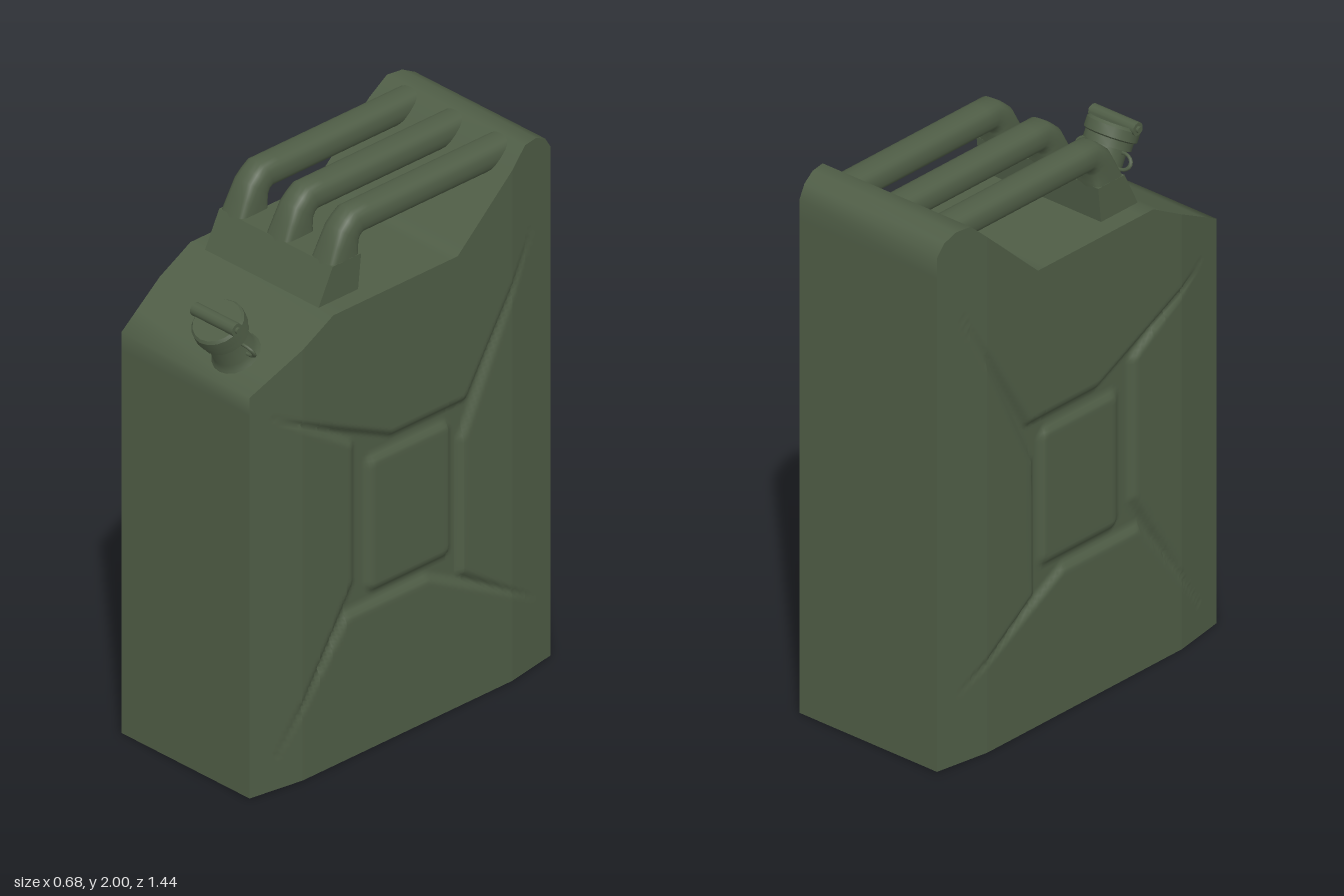
import * as THREE from 'three';
import { toCreasedNormals } from 'three/addons/utils/BufferGeometryUtils.js';

const paint = new THREE.MeshStandardMaterial({ color: 0x4f5d46 });
const { clamp, lerp, smoothstep } = THREE.MathUtils;

function part(name, geometry, parent) {
  const mesh = new THREE.Mesh(geometry, paint);
  mesh.name = name;
  parent.add(mesh);
  return mesh;
}

function indexed(positions, index) {
  const g = new THREE.BufferGeometry();
  g.setAttribute('position', new THREE.Float32BufferAttribute(positions, 3));
  g.setIndex(index);
  g.computeVertexNormals();
  return g;
}

// Upper outline of the can, [z, y] from front to back
const TOP = [
  [0.66, 1.52], [0.57, 1.569], [0.45, 1.634], [0.37, 1.677], [0.31, 1.71], [0.25, 1.71],
  [-0.22, 1.71], [-0.26, 1.71], [-0.29, 1.737], [-0.51, 1.937], [-0.58, 2], [-0.64, 2],
  [-0.69, 1.975], [-0.72, 1.93],
];

// Half width of the body, narrowing towards front and back
const halfWidth = z => 0.34 - 0.035 * clamp(Math.max((z - 0.45) / 0.21, (-0.51 - z) / 0.21), 0, 1);

function topAt(z) {
  for (let i = 1; i < TOP.length; i++) {
    const [z0, y0] = TOP[i - 1], [z1, y1] = TOP[i];
    if (z >= z1) return lerp(y0, y1, clamp((z0 - z) / (z0 - z1), 0, 1));
  }
  return TOP[TOP.length - 1][1];
}

// Outline of the pressed X on each side, [z, y]
const CROSS = [
  [0.57, 1.41], [0.035, 1.155], [-0.3, 1.155], [-0.615, 1.67], [-0.29, 1], [-0.285, 0.5],
  [-0.62, 0.27], [-0.125, 0.535], [0.24, 0.535], [0.555, 0.12], [0.22, 0.66], [0.22, 1.18],
];

// Distance inside the X outline (negative outside)
function insideCross(z, y) {
  let d = Infinity, inside = false;
  CROSS.forEach(([az, ay], i) => {
    const [bz, by] = CROSS[(i + 1) % CROSS.length];
    const ez = bz - az, ey = by - ay;
    const t = clamp(((z - az) * ez + (y - ay) * ey) / (ez * ez + ey * ey), 0, 1);
    d = Math.min(d, Math.hypot(z - az - ez * t, y - ay - ey * t));
    if ((ay > y) !== (by > y) && z < az + (ez * (y - ay)) / ey) inside = !inside;
  });
  return inside ? d : -d;
}

// Depth of the pressing: sunken X with a raised rounded pad in its middle
function pressDepth(z, y) {
  const groove = smoothstep(insideCross(z, y), -0.008, 0.022);
  const r = 0.04;
  const qz = Math.abs(z + 0.045) - 0.195 + r, qy = Math.abs(y - 0.84) - 0.26 + r;
  const pad = r - Math.hypot(Math.max(qz, 0), Math.max(qy, 0)) - Math.min(Math.max(qz, qy), 0);
  return 0.02 * groove * (1 - 0.9 * smoothstep(pad, -0.005, 0.025));
}

function sidePanel(side) {
  const zs = TOP.map(p => p[0]);
  for (let i = 1; i < 100; i++) zs.push(-0.72 + 1.38 * i / 100);
  zs.sort((a, b) => a - b);
  const columns = zs.filter((z, i) => i === 0 || z - zs[i - 1] > 1e-4);
  const rows = 125, pos = [], index = [];
  columns.forEach((z, i) => {
    for (let j = 0; j <= rows; j++) {
      const y = topAt(z) * j / rows;
      pos.push(side * (halfWidth(z) - pressDepth(z, y)), y, z);
      if (i === columns.length - 1 || j === rows) continue;
      const a = i * (rows + 1) + j, b = a + rows + 1;
      if (side > 0) index.push(a, a + 1, b + 1, a, b + 1, b);
      else index.push(a, b + 1, a + 1, a, b, b + 1);
    }
  });
  return indexed(pos, index);
}

// Band running over front, top, back and bottom
function shell() {
  const loop = [[0.66, 0], [0.66, 1.45], ...TOP, [-0.72, 1.85], [-0.72, 0], [-0.51, 0], [0.45, 0]];
  const pos = [], index = [], n = loop.length;
  loop.forEach(([z, y], i) => {
    pos.push(halfWidth(z), y, z, -halfWidth(z), y, z);
    const a = 2 * i, b = 2 * ((i + 1) % n);
    index.push(a, b, b + 1, a, b + 1, a + 1);
  });
  return toCreasedNormals(indexed(pos, index), 1.2);
}

// Handle bar: [outer z, outer y, inner z, inner y, squareness exponent]
function handleBar() {
  const stations = [
    [0.25, 1.83, 0.116, 1.83, 0.3], [0.222, 1.893, 0.112, 1.85, 0.5],
    [0.195, 1.95, 0.106, 1.88, 0.7], [0.165, 1.977, 0.1, 1.893, 0.75],
    [0.13, 2, 0.09, 1.9, 0.75], [0.06, 2, 0.05, 1.9, 0.75], [-0.6, 2, -0.6, 1.9, 0.75],
  ];
  const n = 20, pos = [], index = [];
  const bend = (v, e) => Math.sign(v) * Math.pow(Math.abs(v), e);
  stations.forEach(([oz, oy, iz, iy, e], s) => {
    for (let k = 0; k < n; k++) {
      const a = (2 * Math.PI * k) / n;
      const t = 0.5 + 0.5 * bend(Math.sin(a), e);
      pos.push(0.055 * bend(Math.cos(a), e), lerp(iy, oy, t), lerp(iz, oz, t));
      if (s === stations.length - 1) continue;
      const p = s * n + k, q = s * n + (k + 1) % n;
      index.push(p, p + n, q + n, p, q + n, q);
    }
  });
  return toCreasedNormals(indexed(pos, index), 0.8);
}

// Solid foot joining the three bars at the front
function handleFoot() {
  const shape = new THREE.Shape([[0.31, 1.71], [0.245, 1.84], [0.115, 1.84], [0.13, 1.7], [0.31, 1.7]]
    .map(p => new THREE.Vector2(...p)));
  return new THREE.ExtrudeGeometry(shape, { depth: 0.54, bevelEnabled: false })
    .translate(0, 0, -0.27).rotateY(-Math.PI / 2);
}

const lathe = points =>
  toCreasedNormals(new THREE.LatheGeometry(points.map(p => new THREE.Vector2(...p)), 18), 0.6);

function createSpout() {
  const spout = new THREE.Group();
  spout.name = 'spout';
  part('neck', lathe([[0.1, -0.02], [0.082, 0.005], [0.074, 0.025], [0.072, 0.11]]), spout);
  part('cap', lathe([[0.06, 0.1], [0.085, 0.1], [0.085, 0.128], [0.094, 0.133], [0.094, 0.168],
    [0.086, 0.178], [0, 0.178]]), spout);
  // Hinge rod across the cap
  part('capRod', new THREE.CylinderGeometry(0.024, 0.024, 0.2, 12).rotateZ(Math.PI / 2), spout)
    .position.y = 0.184;
  part('rodPin', new THREE.CylinderGeometry(0.012, 0.012, 0.22, 8).rotateZ(Math.PI / 2), spout)
    .position.y = 0.184;
  // Wire ears on both sides of the neck
  for (const side of [1, -1]) {
    const ear = part('neckEar', new THREE.TorusGeometry(0.028, 0.006, 6, 18), spout);
    ear.scale.set(1.4, 1, 1);
    ear.position.set(side * 0.08, 0.065, 0);
  }
  spout.position.set(0.13, 1.58, 0.555);
  spout.rotation.x = 0.51;
  return spout;
}

export function createModel() {
  const can = new THREE.Group();
  can.name = 'fuelCan';
  part('bodyShell', shell(), can);
  part('leftPanel', sidePanel(1), can);
  part('rightPanel', sidePanel(-1), can);
  part('handleFoot', handleFoot(), can);
  const bar = handleBar();
  for (const x of [-0.215, 0, 0.215]) part('handleBar', bar, can).position.x = x;
  can.add(createSpout());
  return can;
}
